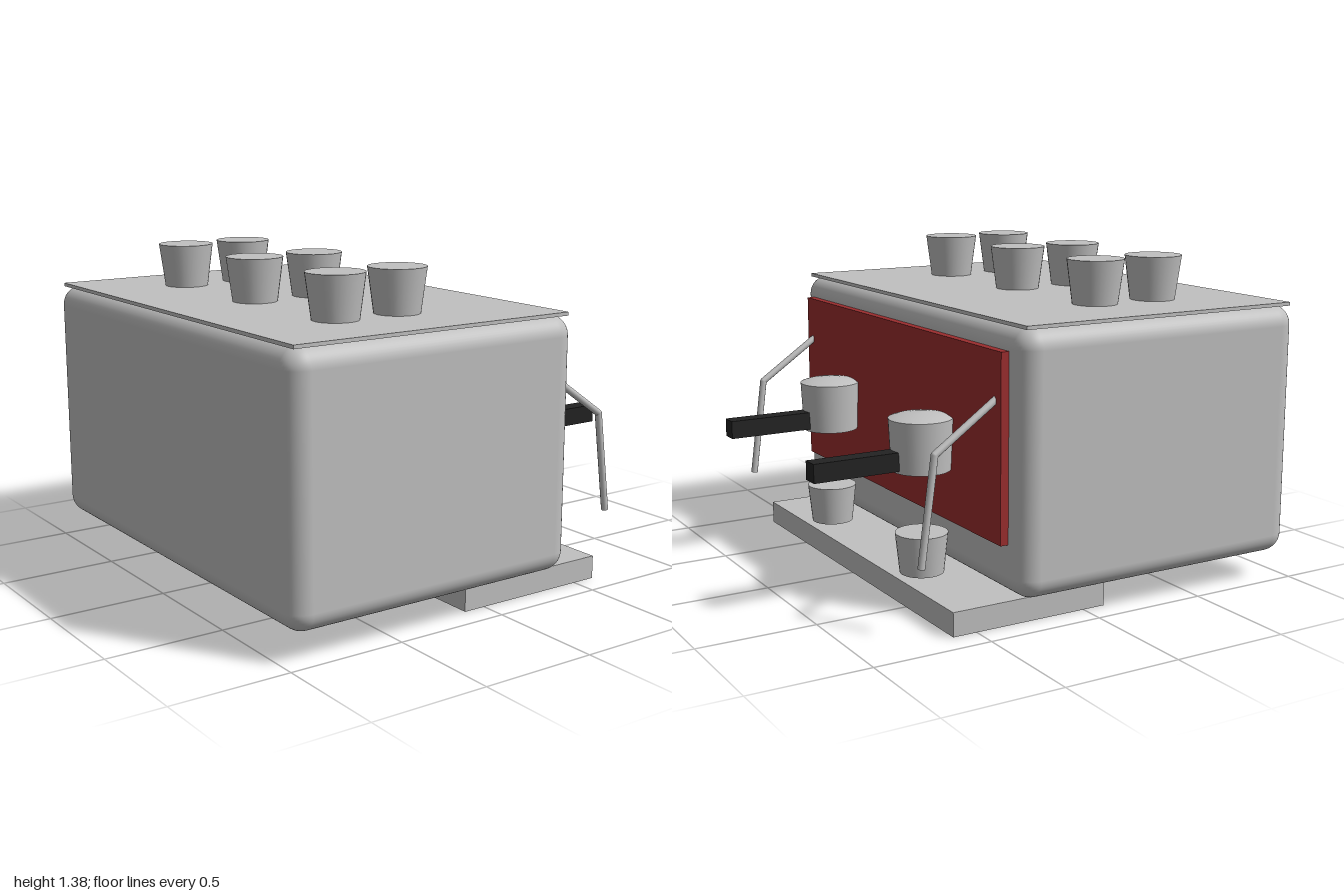
import * as THREE from 'three';
import { RoundedBoxGeometry } from 'three/addons/geometries/RoundedBoxGeometry.js';

const material = (name, color) => {
  const m = new THREE.MeshStandardMaterial({ color });
  m.name = name;
  return m;
};

export function createModel() {
  const steel = material('steel', 0xc0c0c0);
  const red = material('red enamel', 0x9b2d2e);
  const black = material('black plastic', 0x222222);
  const model = new THREE.Group();
  model.name = 'espressoMachine';

  const add = (name, geometry, mat, x = 0, y = 0, z = 0) => {
    const mesh = new THREE.Mesh(geometry, mat);
    mesh.name = name;
    mesh.position.set(x, y, z);
    model.add(mesh);
    return mesh;
  };
  // Box given by its lower and upper limits
  const box = (name, mat, [x0, y0, z0], [x1, y1, z1]) =>
    add(name, new THREE.BoxGeometry(x1 - x0, y1 - y0, z1 - z0), mat,
      (x0 + x1) / 2, (y0 + y1) / 2, (z0 + z1) / 2);
  // Straight round bar between two points
  const bar = (name, a, b, r) => {
    const dir = b.clone().sub(a);
    const mesh = add(name, new THREE.CylinderGeometry(r, r, dir.length(), 16), steel);
    mesh.position.copy(a).add(b).multiplyScalar(0.5);
    mesh.quaternion.setFromUnitVectors(new THREE.Vector3(0, 1, 0), dir.normalize());
  };

  // Housing, with the working side facing +x
  add('body', new RoundedBoxGeometry(1.345, 1.07, 2, 6, 0.085), steel, -0.3125, 0.65, 0);
  box('topPlate', steel, [-0.96, 1.18, -0.975], [0.335, 1.195, 0.975]);
  box('frontPanel', red, [0.35, 0.33, -0.89], [0.395, 1.09, 0.89]);
  box('dripTray', steel, [-0.1, 0, -0.89], [0.605, 0.1, 0.89]);

  // Cups warming on the top plate
  const warmCup = new THREE.CylinderGeometry(0.12, 0.095, 0.187, 32);
  for (const x of [-0.53, -0.235])
    for (const z of [-0.6, 0, 0.6]) add('warmingCup', warmCup, steel, x, 1.288, z);

  const brewCup = new THREE.CylinderGeometry(0.11, 0.092, 0.17, 32);
  const head = new THREE.CylinderGeometry(0.133, 0.122, 0.215, 40);
  // Shallow cap on the brew head
  const dome = new THREE.LatheGeometry(
    [[0.133, 0], [0.1, 0.011], [0.05, 0.019], [0, 0.022]].map(p => new THREE.Vector2(...p)), 40);

  for (const s of [-1, 1]) {
    // Brewing station
    const z = s * 0.435;
    add('brewHead', head, steel, 0.495, 0.6575, z);
    add('brewHeadCap', dome, steel, 0.495, 0.765, z);
    box('filterHandle', black, [0.6, 0.562, z - 0.037], [0.985, 0.64, z + 0.037]);
    add('brewCup', brewCup, steel, 0.495, 0.2, z);

    // Bent steam wand
    const points = [[0.38, 0.905], [0.655, 0.715], [0.715, 0.277]]
      .map(([x, y]) => new THREE.Vector3(x, y, s * 0.84));
    bar('steamWandArm', points[0], points[1], 0.015);
    bar('steamWandTip', points[1], points[2], 0.015);
    add('steamWandJoint', new THREE.SphereGeometry(0.015, 16, 10), steel, ...points[1]);
  }
  return model;
}
